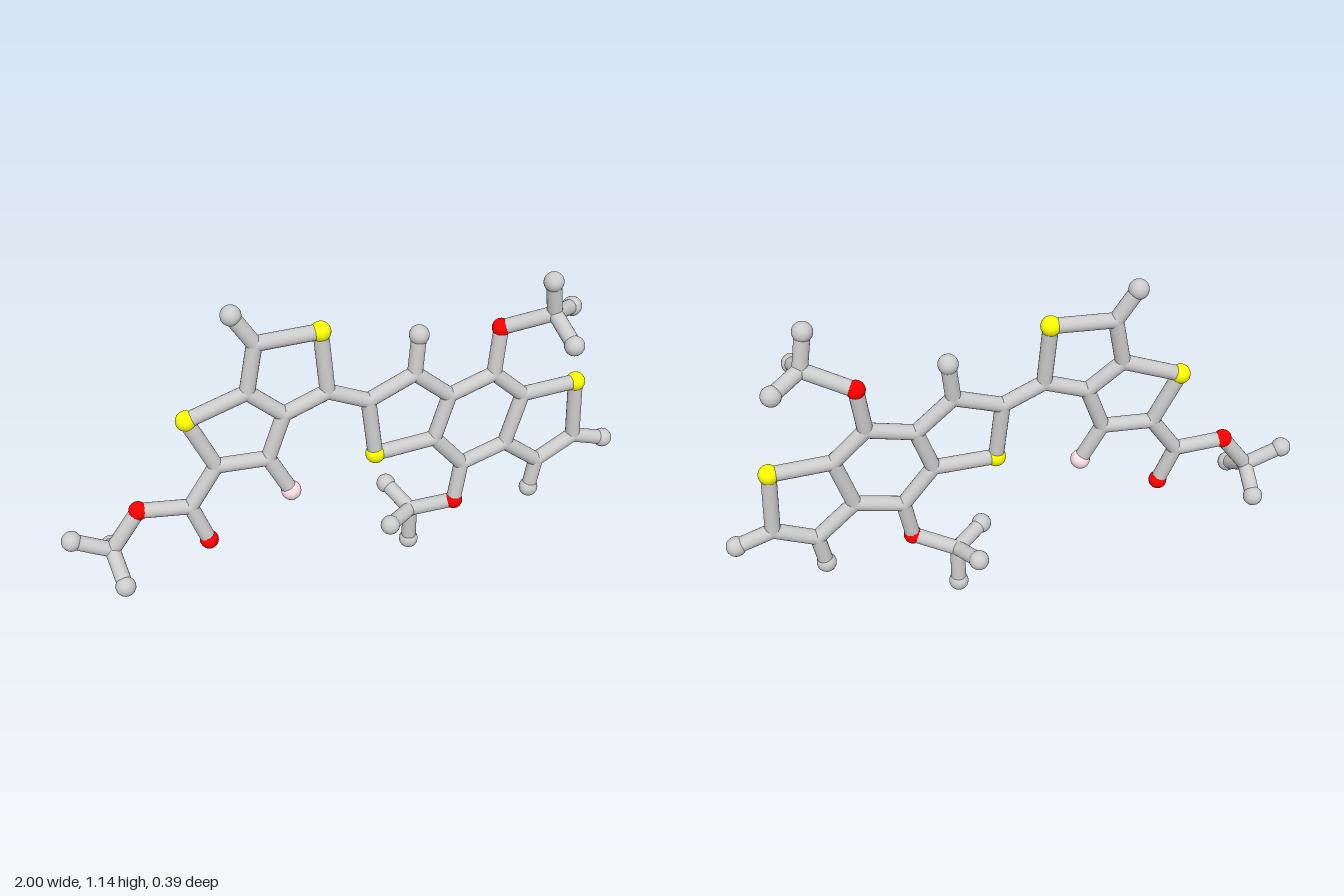
import * as THREE from 'three';

const BOND_RADIUS = 0.026;

// Atoms: name -> [x, y, z]. First letter gives the kind:
// C = joint, H = rounded end, S = yellow, O = red, F = pink
const ATOMS = {
  // left fused pair of five-sided rings
  H1: [-0.388, 1.11, -0.036], C1: [-0.32, 1.0, -0.025], S1: [-0.105, 1.007, -0.016],
  C2: [-0.09, 0.785, 0], C3: [-0.24, 0.73, 0], C4: [-0.355, 0.83, -0.015],
  S2: [-0.557, 0.757, -0.028], C5: [-0.473, 0.57, -0.01], C6: [-0.3, 0.57, 0.006],
  F1: [-0.23, 0.43, 0.022],
  // left side chain
  C7: [-0.57, 0.43, -0.003], O1: [-0.52, 0.288, 0.014], O2: [-0.742, 0.447, -0.016],
  C8: [-0.842, 0.313, -0.01], H2: [-0.968, 0.372, -0.025],
  H3: [-0.827, 0.243, 0.104], H4: [-0.835, 0.246, -0.114],
  // right three fused rings
  C9: [0.05, 0.72, 0.003], C10: [0.217, 0.783, -0.008], H5: [0.233, 0.923, -0.02],
  C11: [0.345, 0.67, -0.005], C12: [0.29, 0.51, 0.005], S3: [0.072, 0.505, 0.015],
  C13: [0.51, 0.715, -0.015], C14: [0.623, 0.607, -0.012], C15: [0.564, 0.42, -0.003],
  C16: [0.398, 0.377, 0.005], S4: [0.832, 0.607, -0.023], C17: [0.842, 0.375, -0.02],
  H6: [0.966, 0.334, -0.019], C18: [0.698, 0.307, -0.01], H7: [0.676, 0.19, -0.006],
  // upper side branch
  O3: [0.532, 0.885, -0.03], C19: [0.692, 0.945, 0.035], H8: [0.671, 1.074, 0.046],
  H9: [0.794, 0.912, -0.038], H10: [0.705, 0.892, 0.164],
  // lower side branch
  O4: [0.37, 0.227, 0.016], C20: [0.227, 0.18, -0.04], H11: [0.12, 0.2, 0.046],
  H12: [0.227, 0.036, -0.046], H13: [0.18, 0.216, -0.163],
};

// Chains of bonded atoms
const CHAINS = [
  'H1 C1 S1 C2 C3 C4 C1', 'C4 S2 C5 C6 C3', 'C6 F1',
  'C5 C7 O2 C8 H2', 'C7 O1', 'H3 C8 H4', 'C2 C9',
  'C9 C10 C11 C12 S3 C9', 'C10 H5', 'C11 C13 C14 C15 C16 C12',
  'C14 S4 C17 C18 C15', 'C17 H6', 'C18 H7',
  'C13 O3 C19 H8', 'H9 C19 H10', 'C16 O4 C20 H11', 'H12 C20 H13',
];

const KINDS = {
  C: { name: 'joint', radius: BOND_RADIUS, color: 0xcccccc },
  H: { name: 'roundedEnd', radius: 0.034, color: 0xcccccc },
  S: { name: 'yellowAtom', radius: 0.034, color: 0xffff00 },
  O: { name: 'redAtom', radius: 0.032, color: 0xff0000 },
  F: { name: 'pinkAtom', radius: 0.034, color: 0xffe1e6 },
};

export function createModel() {
  const model = new THREE.Group();
  model.name = 'molecule';
  const atoms = new THREE.Group();
  atoms.name = 'atoms';
  const bonds = new THREE.Group();
  bonds.name = 'bonds';
  model.add(atoms, bonds);

  // Atom balls, one shared geometry and material per kind
  for (const [letter, kind] of Object.entries(KINDS)) {
    const geometry = new THREE.SphereGeometry(kind.radius, 20, 14);
    const material = new THREE.MeshStandardMaterial({ color: kind.color });
    for (const [id, position] of Object.entries(ATOMS)) {
      if (id[0] !== letter) continue;
      const ball = new THREE.Mesh(geometry, material);
      ball.name = kind.name;
      ball.position.set(...position);
      atoms.add(ball);
    }
  }

  // Bond rods between neighbouring atoms of every chain
  const rodMaterial = new THREE.MeshStandardMaterial({ color: 0xcccccc });
  const up = new THREE.Vector3(0, 1, 0);
  for (const chain of CHAINS) {
    const points = chain.split(' ').map((id) => new THREE.Vector3(...ATOMS[id]));
    for (let i = 1; i < points.length; i++) {
      const a = points[i - 1], b = points[i];
      const direction = b.clone().sub(a);
      const rod = new THREE.Mesh(
        new THREE.CylinderGeometry(BOND_RADIUS, BOND_RADIUS, direction.length(), 20), rodMaterial);
      rod.name = 'bond';
      rod.position.copy(a).lerp(b, 0.5);
      rod.quaternion.setFromUnitVectors(up, direction.normalize());
      bonds.add(rod);
    }
  }
  return model;
}
